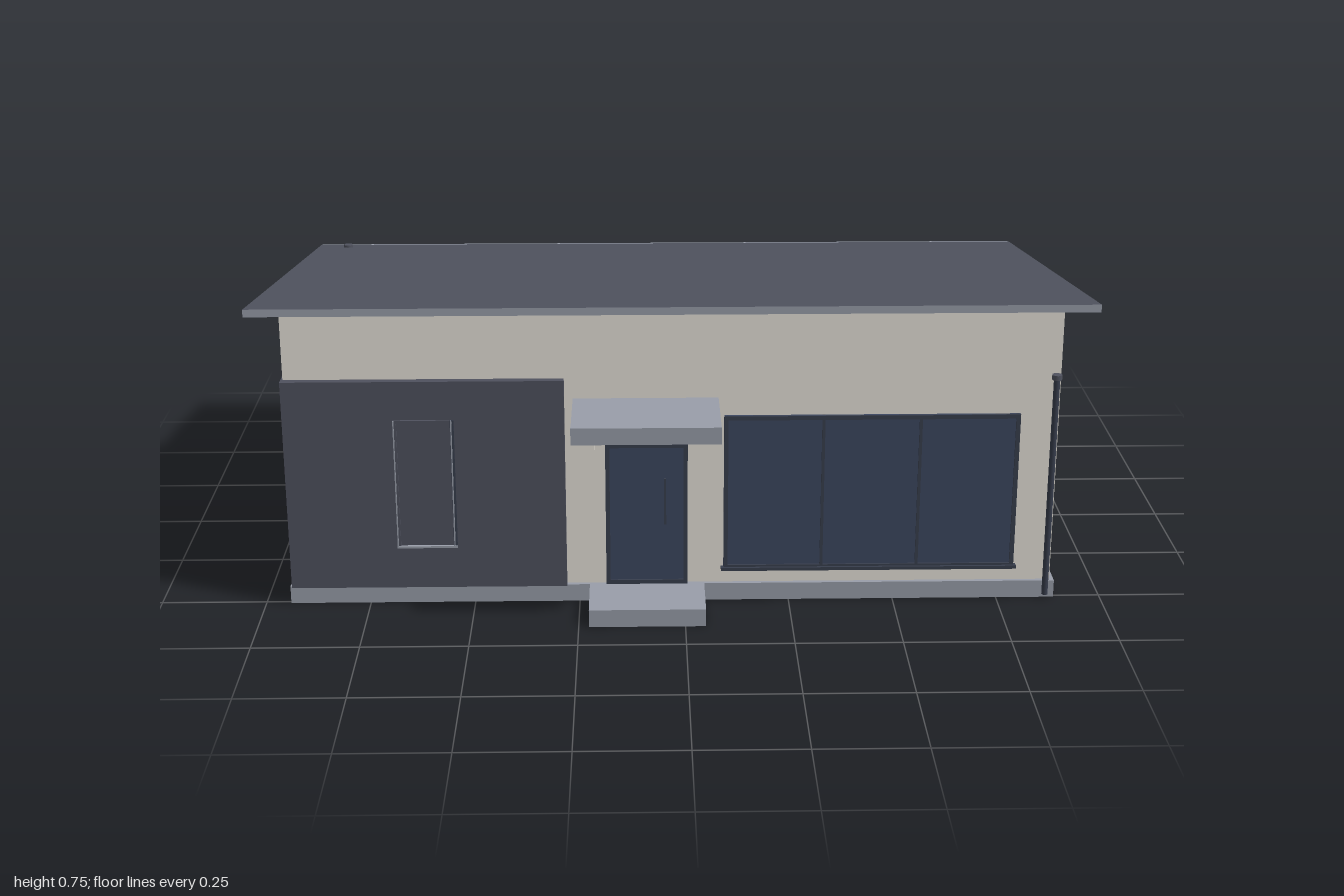
import * as THREE from 'three';

const mat = (name, color) => {
  const m = new THREE.MeshStandardMaterial({ color });
  m.name = name;
  return m;
};

export function createModel() {
  const house = new THREE.Group();
  house.name = 'house';

  const plaster = mat('plaster', 0xe5e1d8);
  const slate = mat('slate', 0x50535f);
  const cladding = mat('cladding', 0x4f515e);
  const concrete = mat('concrete grey', 0x999eaa);
  const soffitBrown = mat('soffit brown', 0x4a3127);
  const glass = mat('glass blue', 0x3c4760);
  const frame = mat('frame', 0x383e4d);

  const add = (name, geo, material, parent = house) => {
    const m = new THREE.Mesh(geo, material);
    m.name = name;
    parent.add(m);
    return m;
  };
  // Box geometry given by its limits on each axis
  const boxGeo = (x0, x1, y0, y1, z0, z1) => new THREE.BoxGeometry(x1 - x0, y1 - y0, z1 - z0)
    .translate((x0 + x1) / 2, (y0 + y1) / 2, (z0 + z1) / 2);
  const box = (name, x0, x1, y0, y1, z0, z1, material, parent) =>
    add(name, boxGeo(x0, x1, y0, y1, z0, z1), material, parent);
  // Moves the heights of a geometry by a rule of y and z
  const reshape = (geo, rule) => {
    const p = geo.attributes.position;
    for (let i = 0; i < p.count; i++) p.setY(i, rule(p.getY(i), p.getZ(i)));
    geo.computeVertexNormals();
    return geo;
  };

  // Base
  box('foundation', -0.941, 0.889, 0, 0.043, -0.635, 0.508, concrete);
  box('frontStep', -0.226, 0.048, 0, 0.043, 0.508, 0.655, concrete);

  // Sloping roof slab: slate on top, grey edges, brown soffit
  const roofY = z => 0.755 - (0.568 - z) * 0.162;
  const thick = 0.018;
  add('roof', reshape(boxGeo(-1, 0.948, -thick, 0, -0.695, 0.568), (y, z) => y + roofY(z)),
    [concrete, concrete, slate, soffitBrown, concrete, concrete]);
  box('gutter', -1, 0.948, 0.525, 0.546, -0.716, -0.692, concrete);

  // Four outer walls reaching up to the slope, without top and bottom faces
  const walls = reshape(boxGeo(-0.931, 0.879, 0.043, 0.5, -0.625, 0.498),
    (y, z) => (y > 0.1 ? roofY(z) - thick : y));
  const faces = Array.from(walls.index.array);
  walls.setIndex([...faces.slice(0, 12), ...faces.slice(24)]);
  walls.clearGroups();
  add('walls', walls, plaster);

  // Dark cladding wrapping the front corner
  box('frontCladding', -0.936, -0.28, 0.043, 0.562, 0.498, 0.517, cladding);
  box('sideCladding', -0.936, -0.93, 0.043, 0.562, 0.29, 0.498, cladding);

  // Window built facing +z around its bottom centre, then turned onto a wall
  const makeWindow = (name, w, h, panes, x, y, z, turn, sill = true) => {
    const g = new THREE.Group();
    g.name = name;
    box('glass', -w / 2, w / 2, 0, h, 0, 0.005, glass, g);
    const t = 0.005;
    for (let i = 0; i <= panes; i++) {
      const c = -w / 2 + t + (w - 2 * t) * i / panes;
      const s = i === 0 || i === panes ? t : t * 0.7;
      box('upright', c - s, c + s, 0, h, 0, 0.01, frame, g);
    }
    box('head', -w / 2, w / 2, h - 2 * t, h, 0, 0.01, frame, g);
    box('bottomRail', -w / 2, w / 2, 0, 2 * t, 0, 0.01, frame, g);
    if (sill) box('sill', -w / 2 - 0.006, w / 2 + 0.006, -0.003, 0.005, 0, 0.016, frame, g);
    g.position.set(x, y, z);
    g.rotation.y = turn;
    house.add(g);
    return g;
  };
  makeWindow('frontWindow', 0.695, 0.388, 3, 0.441, 0.08, 0.498, 0);
  makeWindow('rightWindow', 0.19, 0.255, 1, 0.879, 0.195, -0.062, Math.PI / 2);
  makeWindow('leftWindow', 0.19, 0.255, 1, -0.931, 0.195, -0.062, -Math.PI / 2);
  for (const x of [0.276, -0.332]) makeWindow('backWindow', 0.2, 0.255, 1, x, 0.195, -0.625, Math.PI);

  // Narrow frame standing proud of the cladding
  for (const [x, material] of [[-0.68, cladding], [-0.546, frame]]) {
    box('narrowFrameSide', x, x + 0.009, 0.15, 0.468, 0.517, 0.522, material);
    box('narrowFrameTrim', x + 0.001, x + 0.004, 0.15, 0.468, 0.522, 0.524, concrete);
  }
  box('narrowFrameHead', -0.68, -0.537, 0.461, 0.468, 0.517, 0.522, cladding);
  box('narrowFrameSill', -0.68, -0.537, 0.147, 0.152, 0.517, 0.524, concrete);

  // Front door with transom and pull handle, and the lamp beside it
  const door = makeWindow('frontDoor', 0.194, 0.412, 1, -0.089, 0.043, 0.498, 0, false);
  box('transom', -0.097, 0.097, 0.348, 0.356, 0, 0.01, frame, door);
  box('doorHandle', 0.041, 0.046, 0.16, 0.275, 0.018, 0.025, frame, door);
  for (const y of [0.175, 0.255]) box('handleMount', 0.041, 0.046, y, y + 0.006, 0.004, 0.018, frame, door);
  box('wallLamp', -0.233, -0.21, 0.377, 0.41, 0.498, 0.51, plaster);

  // Canopy over the door
  box('canopy', -0.26, 0.08, 0.488, 0.512, 0.498, 0.708, concrete);
  box('canopyFascia', -0.26, 0.08, 0.478, 0.518, 0.708, 0.715, concrete);

  // Downpipes at two opposite corners
  for (const [x, z] of [[0.867, 0.512], [-0.916, -0.637]]) {
    const pipe = add('downpipe', new THREE.CylinderGeometry(0.0075, 0.0075, 0.55, 12), frame);
    pipe.position.set(x, 0.285, z);
    const collar = add('downpipeCollar', new THREE.CylinderGeometry(0.012, 0.012, 0.012, 12), slate);
    collar.position.set(x, 0.562, z);
  }

  // Outdoor cooling unit with round fan
  box('coolingUnit', 0.889, 0.992, 0.043, 0.146, -0.235, -0.1, plaster);
  const fan = add('coolingFan', new THREE.CylinderGeometry(0.034, 0.034, 0.008, 24), glass);
  fan.rotation.z = Math.PI / 2;
  fan.position.set(0.994, 0.096, -0.167);

  return house;
}
